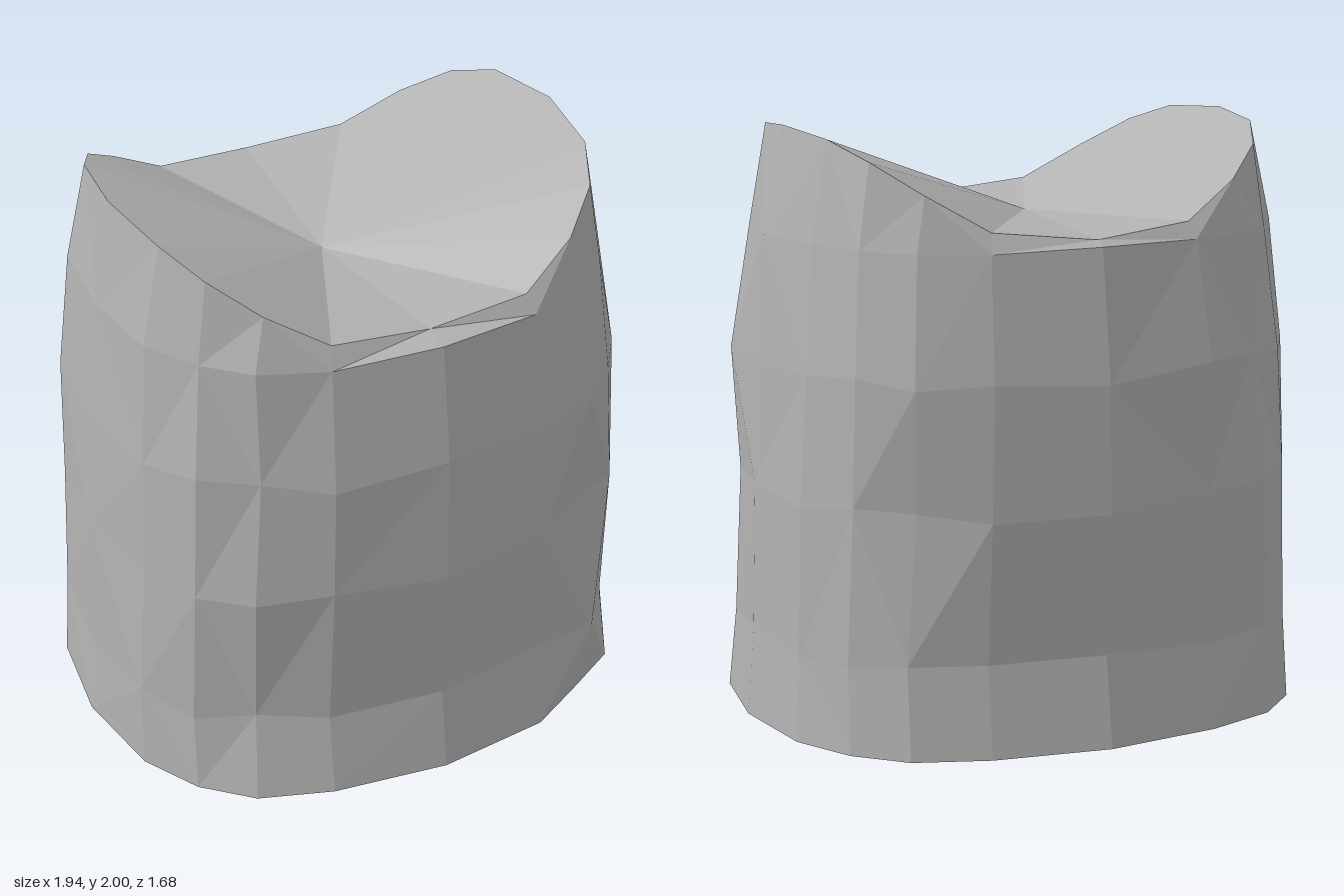
import * as THREE from 'three';

// Quarter outline (x, z) from the side middle to the front middle
const OUTLINE = [[0.97, 0], [0.92, 0.355], [0.81, 0.56], [0.655, 0.705], [0.405, 0.79], [0, 0.842]];
// Quarter of the upper lip (x, y, z): high at the sides, low at front and back
const LIP = [[0.81, 2, 0], [0.77, 1.98, 0.3], [0.69, 1.92, 0.47], [0.55, 1.82, 0.59], [0.35, 1.7, 0.66], [0, 1.665, 0.66]];
// Height, width scale and depth scale of each ring
const RINGS = [[0, 1, 1], [0.29, 0.985, 0.94], [0.8, 0.97, 0.97], [1.23, 0.95, 0.965], [1.64, 0.905, 0.885]];
// Creases: ring, column, radial scale
const FOLDS = [
  [0, 3, 0.95], [1, 3, 1.03], [2, 3, 0.95], [3, 7, 0.96], [1, 7, 0.97],
  [3, 1, 1.02], [2, 1, 0.975], [3, 13, 0.96], [2, 17, 0.96], [1, 13, 1.02],
];
const COLS = 20;

// Reflects a quarter profile around the full loop
function mirrored(quarter, j) {
  const k = j % 10;
  const point = quarter[k <= 5 ? k : 10 - k];
  return {
    point,
    sx: j > 5 && j < 15 ? -1 : 1,
    sz: j > 10 ? -1 : 1,
  };
}

function seeded(seed) {
  return () => {
    seed = (seed * 16807) % 2147483647;
    return seed / 2147483647 - 0.5;
  };
}

function buildRings() {
  const rand = seeded(417);
  const rings = RINGS.map(([y, w, d], i) => {
    const ring = [];
    for (let j = 0; j < COLS; j++) {
      const { point, sx, sz } = mirrored(OUTLINE, j);
      const fold = FOLDS.find((f) => f[0] === i && f[1] === j);
      const wobble = i === 0 ? 0 : rand() * 0.022;
      const s = fold ? fold[2] : 1 + wobble;
      const lift = i === 0 ? 0 : rand() * 0.05;
      ring.push(new THREE.Vector3(sx * point[0] * w * s, y + lift * (i === 4 ? 0.4 : 1), sz * point[1] * d * s));
    }
    return ring;
  });
  const lip = [];
  for (let j = 0; j < COLS; j++) {
    const { point, sx, sz } = mirrored(LIP, j);
    lip.push(new THREE.Vector3(sx * point[0], point[1], sz * point[2] - (j === 15 ? 0.05 : 0)));
  }
  rings.push(lip);
  return rings;
}

// Separate corners per triangle keep every facet flat
function facetMesh(name, triangles, material) {
  const geometry = new THREE.BufferGeometry().setFromPoints(triangles);
  geometry.computeVertexNormals();
  const mesh = new THREE.Mesh(geometry, material);
  mesh.name = name;
  return mesh;
}

export function createModel() {
  const group = new THREE.Group();
  group.name = 'crumpledBlock';
  const grey = new THREE.MeshStandardMaterial({ color: 0xb2b2b2 });
  grey.name = 'grey';

  const rings = buildRings();
  const walls = [], top = [], base = [];
  const topCentre = new THREE.Vector3(-0.08, 1.67, 0.05);
  const baseCentre = new THREE.Vector3(0, 0, 0);

  // Faceted wall, with the quad diagonals alternating
  for (let i = 0; i < rings.length - 1; i++) {
    for (let j = 0; j < COLS; j++) {
      const n = (j + 1) % COLS;
      const a = rings[i][j], b = rings[i][n], c = rings[i + 1][j], d = rings[i + 1][n];
      if ((i + j) % 2) walls.push(a, c, b, b, c, d);
      else walls.push(a, c, d, a, d, b);
    }
  }

  // Saddle-shaped top and flat base
  const lip = rings[rings.length - 1];
  for (let j = 0; j < COLS; j++) {
    const n = (j + 1) % COLS;
    top.push(topCentre, lip[n], lip[j]);
    base.push(baseCentre, rings[0][j], rings[0][n]);
  }

  group.add(
    facetMesh('wall', walls, grey),
    facetMesh('saddleTop', top, grey),
    facetMesh('base', base, grey),
  );
  return group;
}
